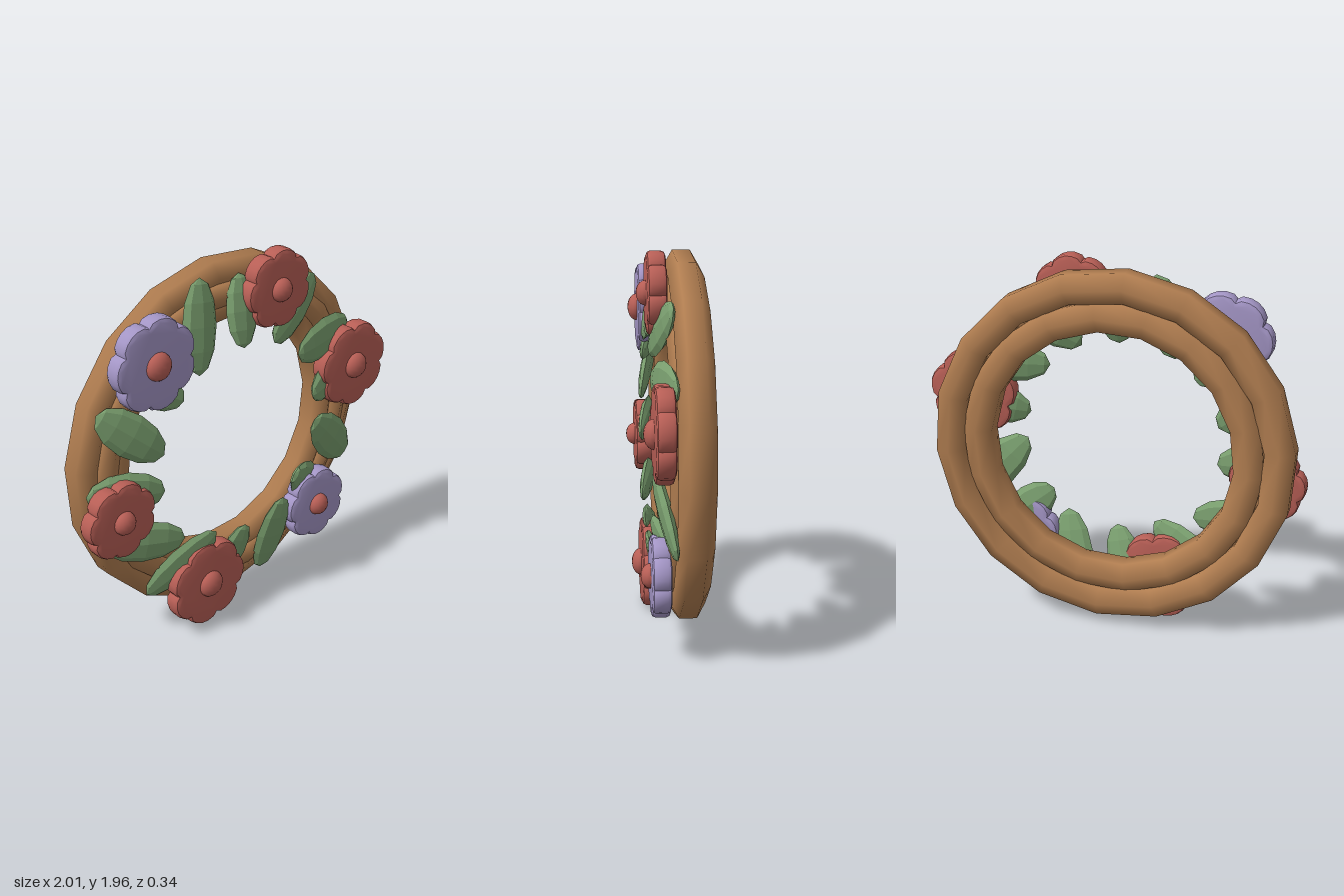
import * as THREE from 'three';
import { mergeVertices, toCreasedNormals } from 'three/addons/utils/BufferGeometryUtils.js';

const mat = (color) => new THREE.MeshStandardMaterial({ color });
const RAD = Math.PI / 180;

// hexagonal tube swept round the wreath axis, smooth shaded
function ringGeometry(radius, tube, segments, phase) {
  const profile = [];
  for (let i = 0; i <= 6; i++) {
    const a = (30 + i * 60) * RAD;
    profile.push(new THREE.Vector2(radius + tube * Math.cos(a), tube * Math.sin(a)));
  }
  let g = new THREE.LatheGeometry(profile, segments);
  g.deleteAttribute('normal');
  g.deleteAttribute('uv');
  g = mergeVertices(g, 1e-4);
  g.computeVertexNormals();
  return g.rotateX(Math.PI / 2).rotateZ(phase * RAD);
}

// scalloped disc with a rounded rim
function petalGeometry(radius, phase) {
  const bevel = 0.022, petals = 7, steps = 6, pts = [];
  for (let i = 0; i < petals * steps; i++) {
    const a = (i / (petals * steps)) * Math.PI * 2;
    const lobe = Math.sqrt(Math.abs(Math.cos((a * petals) / 2)));
    const r = (radius - bevel) * (0.83 + 0.17 * lobe);
    pts.push(new THREE.Vector2(r * Math.cos(a + phase * RAD), r * Math.sin(a + phase * RAD)));
  }
  const g = new THREE.ExtrudeGeometry(new THREE.Shape(pts), {
    depth: 0.05, bevelEnabled: true, bevelThickness: bevel, bevelSize: bevel, bevelSegments: 2,
  });
  return toCreasedNormals(g, 0.75);
}

export function createModel() {
  const wreath = new THREE.Group();
  wreath.name = 'wreath';
  const wood = mat(0xb07d50), green = mat(0x7a9f6f), red = mat(0xb85f56), purple = mat(0xa496c6);
  green.flatShading = true;

  const add = (parent, name, geometry, material, x = 0, y = 0, z = 0) => {
    const m = new THREE.Mesh(geometry, material);
    m.name = name;
    m.position.set(x, y, z);
    parent.add(m);
    return m;
  };

  // three bundled vine rings
  add(wreath, 'outerRing', ringGeometry(0.867, 0.09, 18, 4.5), wood, -0.02, 1, -0.08);
  add(wreath, 'innerRing', ringGeometry(0.713, 0.09, 18, 14), wood, -0.02, 1, -0.075);
  add(wreath, 'frontRing', ringGeometry(0.785, 0.07, 18, 9), wood, -0.02, 1, -0.03);

  // leaves: inner end x, y, outer end x, y, width
  const leaves = [
    [-0.3, 1.45, -0.22, 1.91, 0.22],
    [-0.01, 1.51, 0.03, 1.87, 0.2],
    [0.19, 1.48, 0.55, 1.73, 0.21],
    [0.36, 1.36, 0.81, 1.39, 0.23],
    [0.47, 1.09, 0.78, 1.17, 0.21],
    [0.49, 0.94, 0.83, 0.59, 0.23],
    [0.35, 0.66, 0.58, 0.5, 0.2],
    [0.27, 0.55, 0.19, 0.1, 0.21],
    [0.0, 0.49, -0.09, 0.17, 0.18],
    [-0.2, 0.53, -0.6, 0.27, 0.21],
    [-0.41, 0.58, -0.85, 0.67, 0.22],
    [-0.53, 0.9, -0.94, 0.98, 0.23],
    [-0.53, 1.1, -0.86, 1.39, 0.22],
    [-0.4, 1.35, -0.66, 1.5, 0.18],
  ];
  leaves.forEach(([x0, y0, x1, y1, width], i) => {
    const along = new THREE.Vector3(x1 - x0, y1 - y0, -0.09);
    const length = along.length();
    along.normalize();
    const across = new THREE.Vector3(-along.y, along.x, 0).normalize();
    const g = new THREE.SphereGeometry(1, 8, 6).scale(width / 2, length / 2, 0.034);
    const leaf = add(wreath, 'leaf' + (i + 1), g, green, (x0 + x1) / 2, (y0 + y1) / 2, 0.055);
    const right = across.negate();
    leaf.quaternion.setFromRotationMatrix(
      new THREE.Matrix4().makeBasis(right, along, right.clone().cross(along)));
  });

  // flowers: centre x, y, radius, material, turn in degrees
  const flowers = [
    [-0.565, 1.59, 0.24, purple, 25],
    [0.217, 1.763, 0.207, red, 28],
    [0.77, 1.182, 0.237, red, 15],
    [0.521, 0.42, 0.205, purple, 20],
    [-0.257, 0.243, 0.242, red, 0],
    [-0.798, 0.833, 0.204, red, 22],
  ];
  flowers.forEach(([x, y, radius, material, turn], i) => {
    const flower = new THREE.Group();
    flower.name = 'flower' + (i + 1);
    flower.position.set(x, y, 0);
    wreath.add(flower);
    add(flower, 'petals', petalGeometry(radius, turn), material, 0, 0, 0.047);
    const r = radius * 0.3;
    const centre = new THREE.SphereGeometry(1, 14, 10).scale(r, r, 0.05);
    add(flower, 'flowerCentre', centre, red, 0, 0, 0.118);
  });

  return wreath;
}
